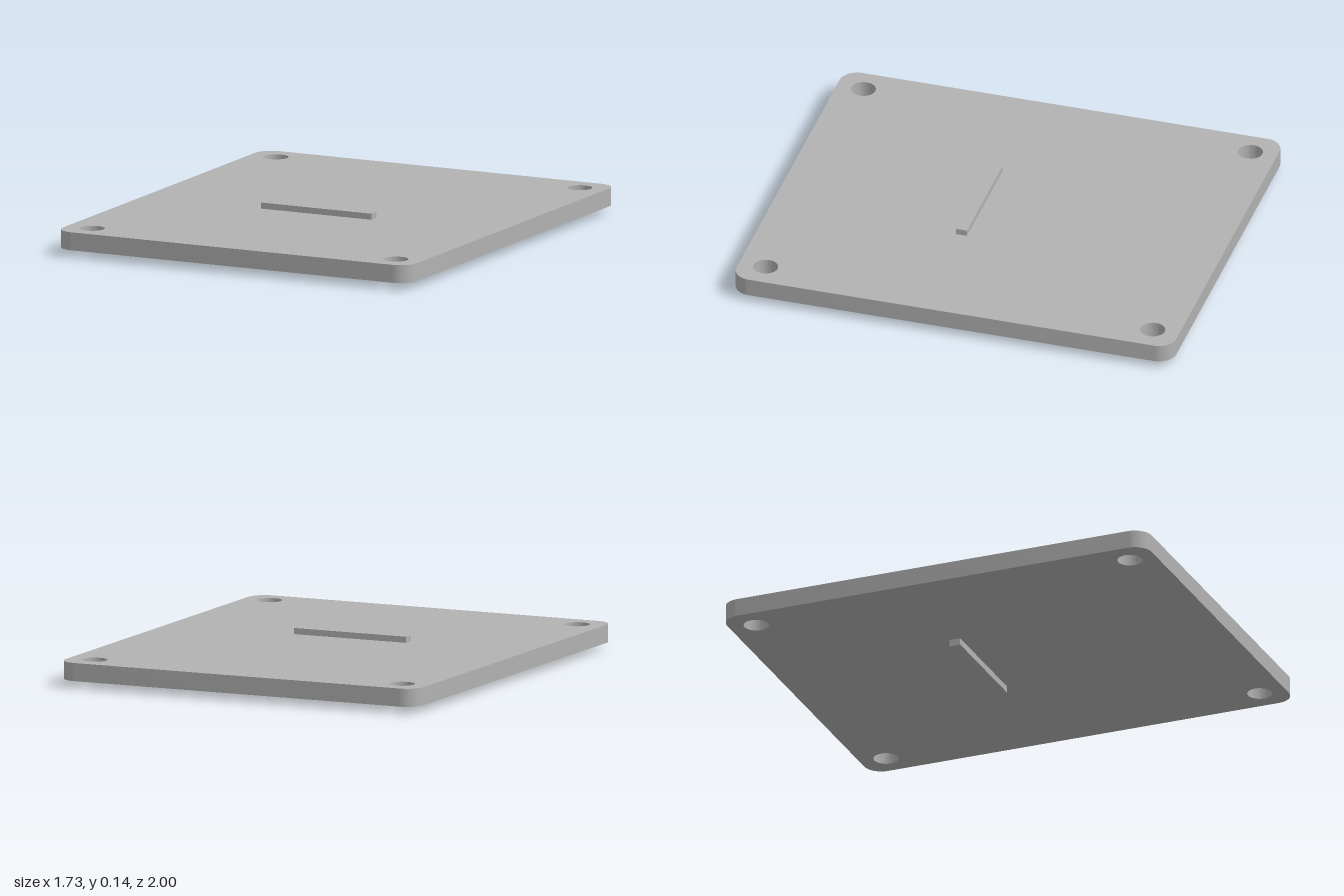
import * as THREE from 'three';
import { toCreasedNormals } from 'three/addons/utils/BufferGeometryUtils.js';

const HALF_W = 0.865, HALF_D = 1, CORNER = 0.08;
const BASE_Y = 0.03, TOP_Y = 0.11;

export function createModel() {
  const model = new THREE.Group();
  model.name = 'mountingPlate';
  const grey = new THREE.MeshStandardMaterial({ color: 0xb2b2b2 });
  grey.name = 'plain grey';

  // Flat plate with rounded corners and a screw hole near each corner
  const outline = new THREE.Shape();
  const cx = HALF_W - CORNER, cz = HALF_D - CORNER;
  [[cx, cz], [-cx, cz], [-cx, -cz], [cx, -cz]].forEach(([x, z], i) => {
    outline.absarc(x, z, CORNER, i * Math.PI / 2, (i + 1) * Math.PI / 2, false);
  });
  outline.closePath();
  for (const sx of [-1, 1]) {
    for (const sz of [-1, 1]) {
      const hole = new THREE.Path();
      hole.absarc(sx * 0.743, sz * 0.88, 0.055, 0, Math.PI * 2, true);
      outline.holes.push(hole);
    }
  }
  const plateGeometry = new THREE.ExtrudeGeometry(outline, {
    depth: TOP_Y - BASE_Y, bevelEnabled: false, curveSegments: 20,
  });
  plateGeometry.rotateX(-Math.PI / 2);
  plateGeometry.translate(0, BASE_Y, 0);
  const plate = new THREE.Mesh(toCreasedNormals(plateGeometry, 0.6), grey);
  plate.name = 'plate';
  model.add(plate);

  // Plain raised bars, one on each face
  const addBar = (name, x0, x1, y0, y1, z0, z1) => {
    const bar = new THREE.Mesh(new THREE.BoxGeometry(x1 - x0, y1 - y0, z1 - z0), grey);
    bar.position.set((x0 + x1) / 2, (y0 + y1) / 2, (z0 + z1) / 2);
    bar.name = name;
    model.add(bar);
  };
  addBar('topBar', -0.285, 0.255, TOP_Y, 0.137, 0.11, 0.16);
  addBar('bottomBar', -0.28, 0.255, 0, BASE_Y, -0.16, -0.11);

  return model;
}
